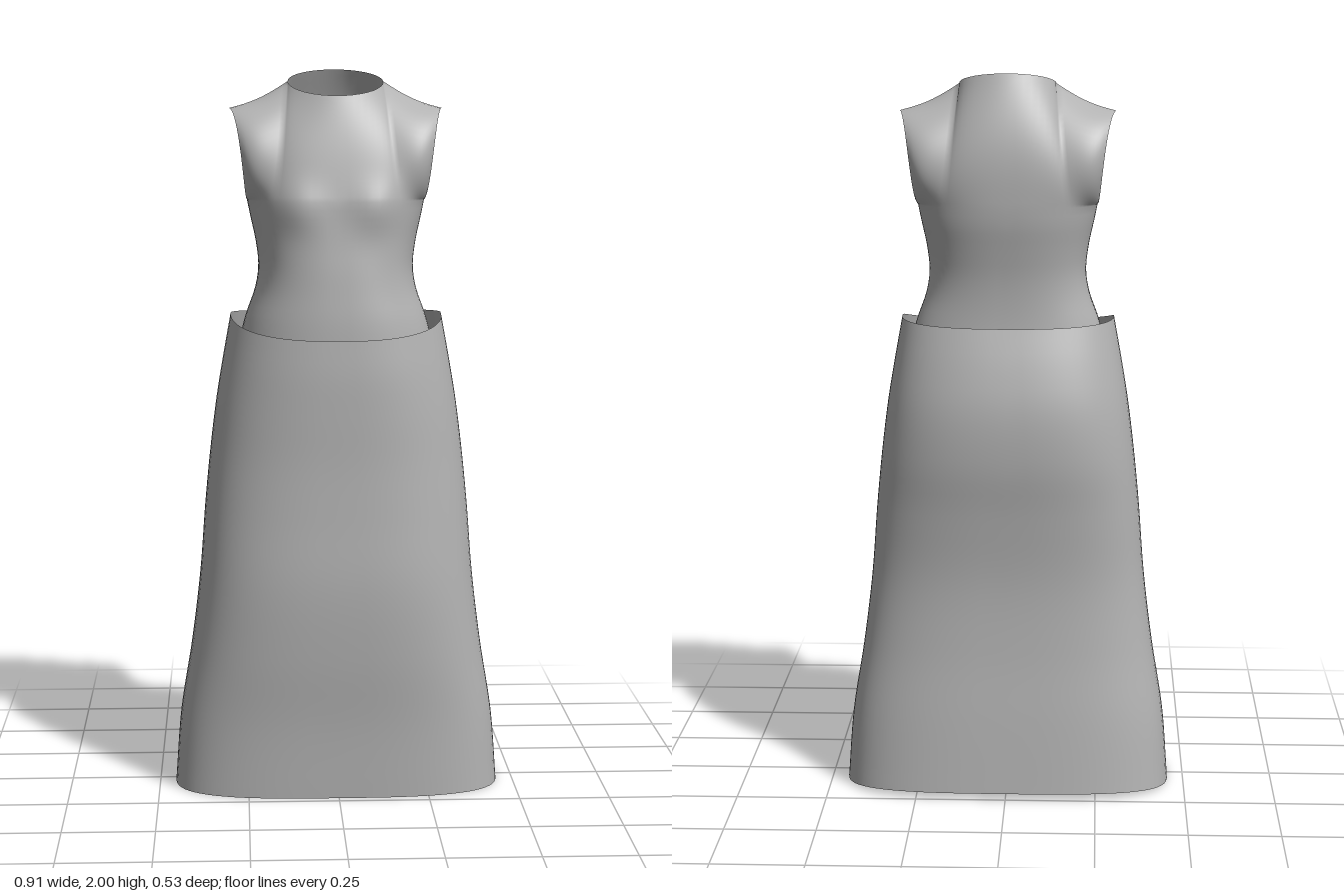
import * as THREE from 'three';
import { mergeGeometries, mergeVertices } from 'three/addons/utils/BufferGeometryUtils.js';

const lerp = THREE.MathUtils.lerp;

// Grid from a rule point(u, v) for one quarter: u runs from the centre line to the side, v runs upward
function quarter(point, nu, nv, sx, sz) {
  const pos = [], idx = [];
  for (let j = 0; j <= nv; j++) {
    for (let i = 0; i <= nu; i++) {
      const [x, y, z] = point(i / nu, j / nv, sz);
      pos.push(i === 0 ? 0 : sx * x, y, z);
    }
  }
  for (let j = 0; j < nv; j++) {
    for (let i = 0; i < nu; i++) {
      const a = j * (nu + 1) + i, b = a + 1, c = b + nu + 1, d = a + nu + 1;
      if (sx * sz > 0) idx.push(a, b, c, a, c, d);
      else idx.push(a, c, b, a, d, c);
    }
  }
  const g = new THREE.BufferGeometry();
  g.setAttribute('position', new THREE.Float32BufferAttribute(pos, 3));
  g.setIndex(idx);
  return g;
}

// Four mirrored quarters of each rule, welded into one smooth surface
function garment(rules) {
  const parts = [];
  for (const [point, nu, nv] of rules)
    for (const sx of [1, -1])
      for (const sz of [1, -1]) parts.push(quarter(point, nu, nv, sx, sz));
  const g = mergeVertices(mergeGeometries(parts), 1e-4);
  g.computeVertexNormals();
  return g;
}

// Smooth profile from rows of [y, half width, front z, back z]
function profile(rows) {
  const curve = new THREE.CubicInterpolant(rows.map(r => r[0]), rows.flatMap(r => r.slice(1)), 3);
  return y => Array.from(curve.evaluate(y));
}

// Point on a rounded oval cross-section
function oval([w, zf, zb], zc, n, u, sz) {
  const s = Math.sin(u * Math.PI / 2), c = Math.max(0, Math.cos(u * Math.PI / 2));
  return [w * s ** (2 / n), zc + ((sz > 0 ? zf : zb) - zc) * (u === 1 ? 0 : c ** (2 / n))];
}

// Skirt: open tube with a dipped waistline
const skirtShape = profile([
  [0, 0.456, 0.225, -0.256], [0.2, 0.44, 0.235, -0.24], [0.4, 0.408, 0.255, -0.222],
  [0.6, 0.383, 0.265, -0.217], [0.8, 0.367, 0.257, -0.237], [0.95, 0.352, 0.252, -0.258],
  [1.1, 0.333, 0.252, -0.258], [1.22, 0.313, 0.251, -0.235], [1.33, 0.293, 0.245, -0.203],
]);
function skirtPoint(u, v, sz) {
  const y = 1.33 * v, c = Math.cos(u * Math.PI / 2);
  const [x, z] = oval(skirtShape(y), -0.01, lerp(3.1, 2.5, v), u, sz);
  const top = sz > 0 ? -0.053 : -0.01, hem = sz > 0 ? 0 : 0.02;
  return [x, y + c * (top * v ** 3 + hem * (1 - v)), z];
}

// Bodice below the arms
const ZC = -0.035, ARM_Y = 1.645, HEM_Y = 1.2;
const bodiceShape = profile([
  [HEM_Y, 0.28, 0.203, -0.19], [1.32, 0.252, 0.2, -0.18], [1.4, 0.224, 0.193, -0.18],
  [1.46, 0.215, 0.187, -0.185], [1.53, 0.222, 0.178, -0.197], [1.6, 0.237, 0.17, -0.21],
  [ARM_Y, 0.246, 0.167, -0.214],
]);
function bust([x, y, z], sz) {
  if (sz < 0) return [x, y, z];
  const d = ((x - 0.11) / 0.065) ** 2 + ((y - 1.63) / 0.065) ** 2;
  return [x, y, z + 0.018 * Math.exp(-d) * THREE.MathUtils.smoothstep(z, ZC, 0.09)];
}
function torsoPoint(u, v, sz) {
  const y = lerp(HEM_Y, ARM_Y, v);
  const [x, z] = oval(bodiceShape(y), ZC, 2.45, u, sz);
  return bust([x, y, z], sz);
}

// Neckline for the inner part of the top edge, then the shoulder seam
const NECK_U = 0.45;
function topEdge(u, sz) {
  if (u <= NECK_U) {
    const a = u / NECK_U * Math.PI / 2, c = Math.cos(a);
    return [0.132 * Math.sin(a), 1.968 + c * (sz > 0 ? -0.038 : 0.032), ZC + c * (sz > 0 ? 0.125 : -0.107)];
  }
  const t = (u - NECK_U) / (1 - NECK_U);
  return [lerp(0.132, 0.294, t), lerp(1.968, 1.895, t) - 0.01 * Math.sin(t * Math.PI), ZC];
}

// Chest and upper back, bounded by the armhole, neckline and shoulder seam
function yokePoint(u, v, sz) {
  const [bx, bz] = oval(bodiceShape(ARM_Y), ZC, 2.45, u, sz);
  const t = topEdge(u, sz), w = u * u * (3 - 2 * u), arc = Math.sin(v * Math.PI);
  const armY = 0.125 * (1 - Math.cos(v * Math.PI)) - 0.25 * v;
  return bust([
    lerp(bx, t[0], v) - 0.008 * arc * w,
    lerp(ARM_Y, t[1], v) + armY * w,
    lerp(bz, t[2], v) + arc * (w * 0.125 * sz + (1 - w) * (sz > 0 ? 0.008 : -0.026)),
  ], sz);
}

export function createModel() {
  const model = new THREE.Group();
  model.name = 'dress';
  const fabric = new THREE.MeshStandardMaterial({ color: 0xb2b2b2, side: THREE.DoubleSide });
  fabric.name = 'grey fabric';

  const skirt = new THREE.Mesh(garment([[skirtPoint, 18, 40]]), fabric);
  skirt.name = 'skirt';
  const bodice = new THREE.Mesh(garment([[torsoPoint, 20, 20], [yokePoint, 20, 20]]), fabric);
  bodice.name = 'bodice';
  model.add(skirt, bodice);
  return model;
}
